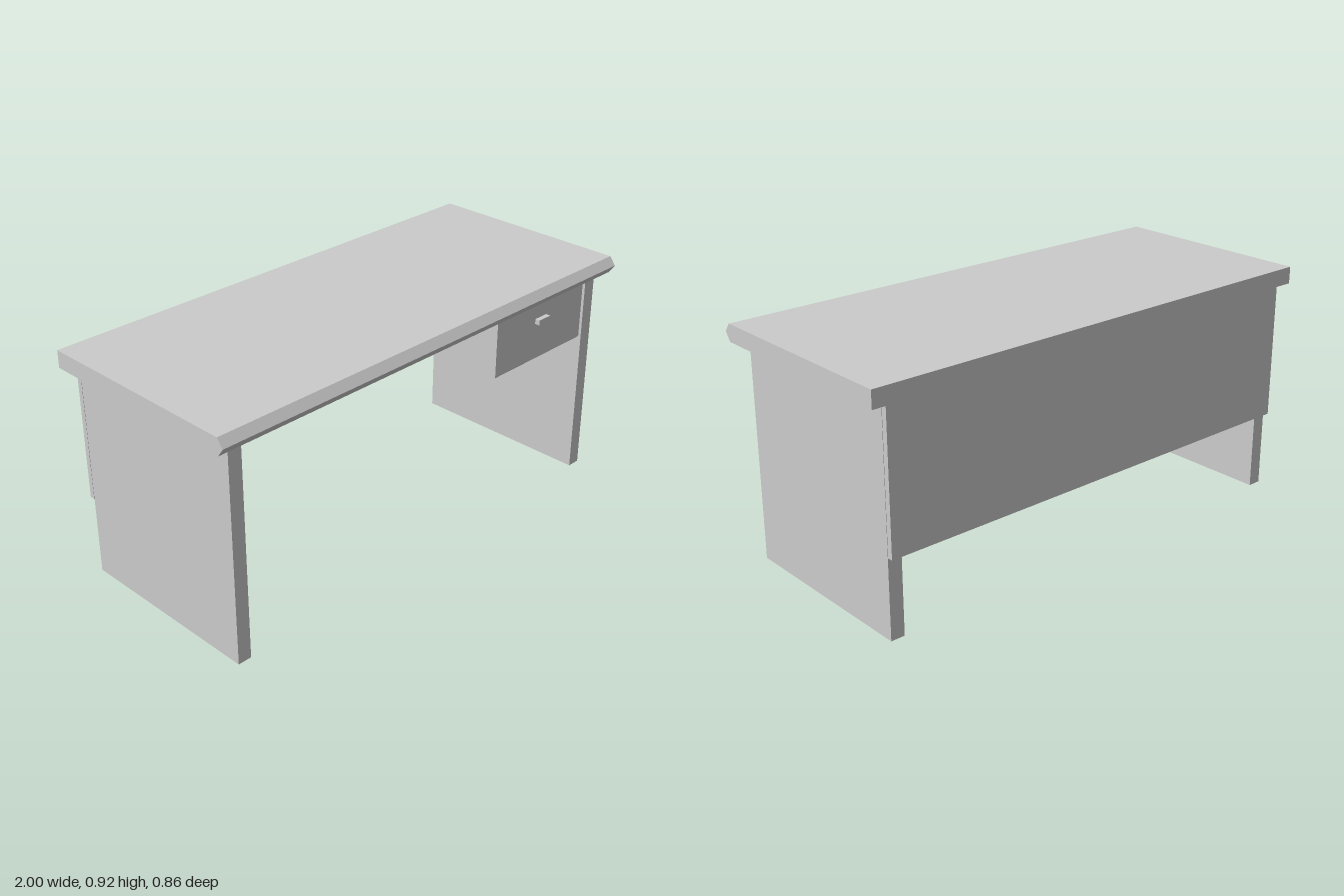
import * as THREE from 'three';

const material = new THREE.MeshStandardMaterial({ color: 0xcccccc, flatShading: true });

// Box given by its min and max on each axis
function box(name, [x0, x1], [y0, y1], [z0, z1]) {
  const mesh = new THREE.Mesh(new THREE.BoxGeometry(x1 - x0, y1 - y0, z1 - z0), material);
  mesh.position.set((x0 + x1) / 2, (y0 + y1) / 2, (z0 + z1) / 2);
  mesh.name = name;
  return mesh;
}

// Table top: side profile with a pointed front edge, extruded across the width
function makeTop() {
  const profile = new THREE.Shape([
    [-0.43, 0.85], [0.405, 0.85], [0.43, 0.884], [0.405, 0.917], [-0.43, 0.917],
  ].map(([z, y]) => new THREE.Vector2(-z, y)));
  const geometry = new THREE.ExtrudeGeometry(profile, { depth: 2, bevelEnabled: false });
  geometry.translate(0, 0, -1).rotateY(Math.PI / 2);
  const mesh = new THREE.Mesh(geometry, material);
  mesh.name = 'tableTop';
  return mesh;
}

// Drawer: front with a pull, thin walls and a slightly raised bottom
function makeDrawer() {
  const drawer = new THREE.Group();
  drawer.name = 'drawer';
  const back = -0.36, front = 0.355;
  drawer.add(
    box('drawerFront', [0.365, 0.88], [0.6, 0.838], [front, 0.37]),
    box('drawerInnerSide', [0.365, 0.38], [0.6, 0.85], [back, front]),
    box('drawerOuterSide', [0.865, 0.88], [0.6, 0.838], [back, front]),
    box('drawerBack', [0.38, 0.865], [0.6, 0.838], [back, back + 0.015]),
    box('drawerBottom', [0.38, 0.865], [0.615, 0.63], [back + 0.015, front]),
    box('drawerPull', [0.59, 0.655], [0.75, 0.77], [0.37, 0.39]),
  );
  return drawer;
}

export function createModel() {
  const desk = new THREE.Group();
  desk.name = 'desk';
  desk.add(makeTop());

  // Slab legs
  desk.add(box('leftLeg', [0.885, 0.94], [0, 0.85], [-0.395, 0.378]));
  desk.add(box('rightLeg', [-0.94, -0.885], [0, 0.85], [-0.395, 0.378]));

  // Modesty panel across the back of both legs
  desk.add(box('backPanel', [-0.94, 0.94], [0.31, 0.85], [-0.418, -0.397]));

  desk.add(makeDrawer());
  return desk;
}
